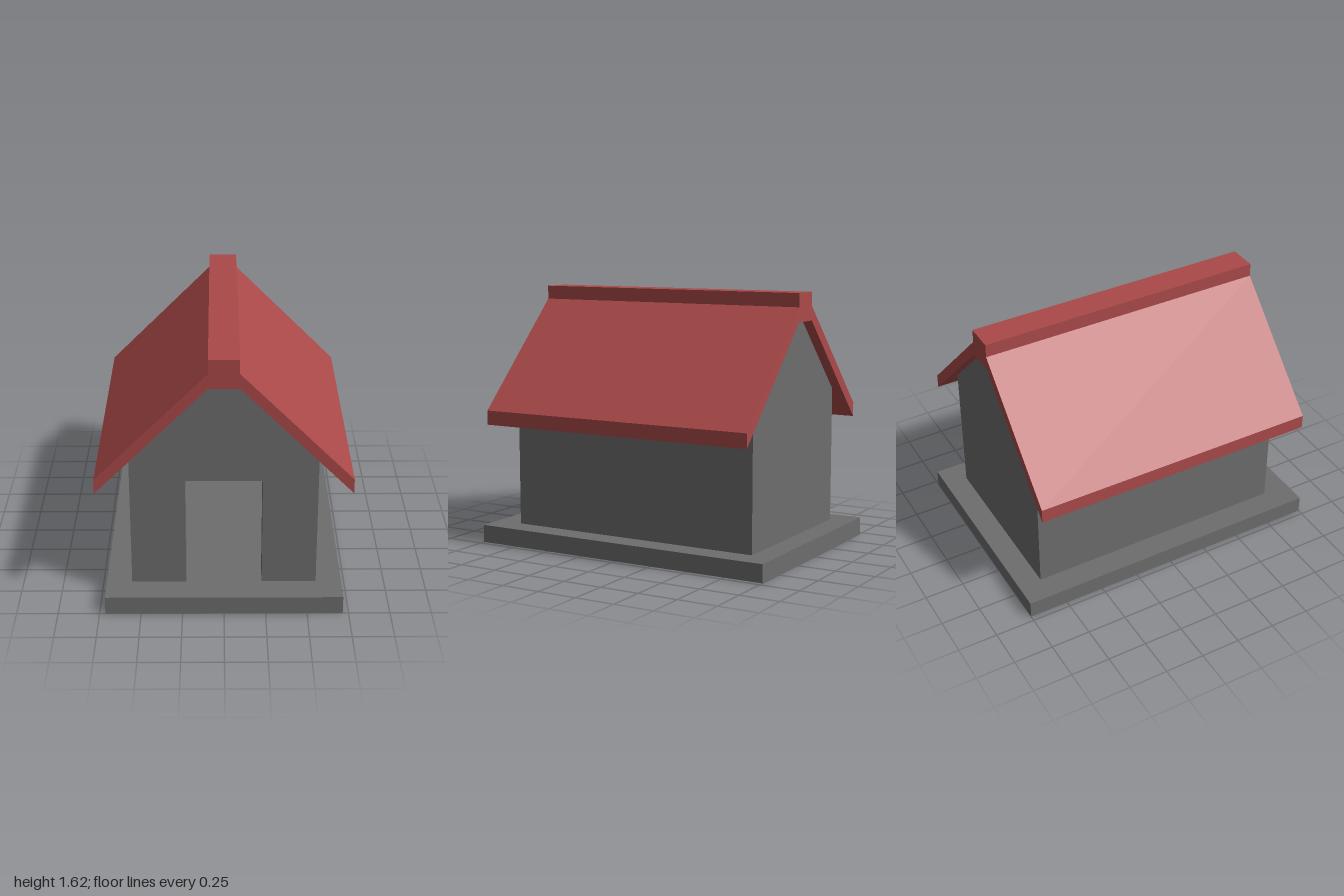
import * as THREE from 'three';

const grey = new THREE.MeshStandardMaterial({ color: 0x6d6d6d });
const red = new THREE.MeshStandardMaterial({ color: 0xab4949 });

// Extrude an x/y outline from z0 to z1; bend(v) may then move each vertex
function slab(name, points, z0, z1, material, bend = () => {}) {
  const shape = new THREE.Shape(points.map(([x, y]) => new THREE.Vector2(x, y)));
  const geometry = new THREE.ExtrudeGeometry(shape, { depth: z1 - z0, bevelEnabled: false });
  geometry.translate(0, 0, z0);
  const position = geometry.attributes.position;
  const v = new THREE.Vector3();
  for (let i = 0; i < position.count; i++) {
    bend(v.fromBufferAttribute(position, i));
    position.setXYZ(i, v.x, v.y, v.z);
  }
  geometry.computeVertexNormals();
  const mesh = new THREE.Mesh(geometry, material);
  mesh.name = name;
  return mesh;
}

// Complete a right-hand outline with its mirror image
const mirrored = (half) => [...half, ...half.map(([x, y]) => [-x, y]).reverse()];
const near = (a, b) => Math.abs(a - b) < 1e-4;

export function createModel() {
  const group = new THREE.Group();
  const floorY = 0.112, wallX = 0.56, eaveY = 0.975, ridgeX = 0.09, ridgeY = 1.445;
  const front = 0.82, back = -0.853, gableDepth = 0.12, sideDepth = 0.16;
  const doorX = 0.23, doorY = 0.807;
  const innerX = wallX - sideDepth, innerFront = front - gableDepth, innerBack = back + gableDepth;

  // Base: a thin shell, open underneath
  const baseGeometry = new THREE.BoxGeometry(1.43, floorY, 2);
  const index = Array.from(baseGeometry.index.array);
  index.splice(18, 6); // drop the bottom face
  baseGeometry.setIndex(index);
  baseGeometry.clearGroups();
  const baseMaterial = grey.clone();
  baseMaterial.side = THREE.DoubleSide;
  const base = new THREE.Mesh(baseGeometry, baseMaterial);
  base.name = 'base';
  base.position.y = floorY / 2;
  group.add(base);

  // Gable walls, the front one with a doorway, mitred on the inside
  const gableTop = [[wallX, eaveY], [ridgeX, ridgeY]];
  const mitreGable = (v) => {
    const inside = near(v.z, innerFront) || near(v.z, innerBack);
    if (!inside || !near(Math.abs(v.x), wallX)) return;
    v.x = Math.sign(v.x) * innerX;
    if (near(v.y, eaveY)) v.y += sideDepth;
  };
  group.add(slab('frontWall',
    mirrored([[doorX, doorY], [doorX, floorY], [wallX, floorY], ...gableTop]),
    innerFront, front, grey, mitreGable));
  group.add(slab('backWall', mirrored([[wallX, floorY], ...gableTop]),
    back, innerBack, grey, mitreGable));

  // Side walls, tops cut to the roof slope, ends mitred to meet the gables
  const mitreSide = (v) => {
    if (near(Math.abs(v.x), wallX)) v.z = near(v.z, innerFront) ? front : back;
  };
  for (const [name, s] of [['leftWall', 1], ['rightWall', -1]]) {
    group.add(slab(name, [
      [s * innerX, floorY], [s * wallX, floorY],
      [s * wallX, eaveY], [s * innerX, eaveY + sideDepth],
    ], innerBack, innerFront, grey, mitreSide));
  }

  // Roof with its raised ridge cap
  group.add(slab('roof', mirrored([
    [ridgeX, ridgeY], [0.76, 0.775], [0.76, 0.865], [ridgeX, 1.535], [ridgeX, 1.62],
  ]), -0.917, 0.917, red));

  return group;
}
